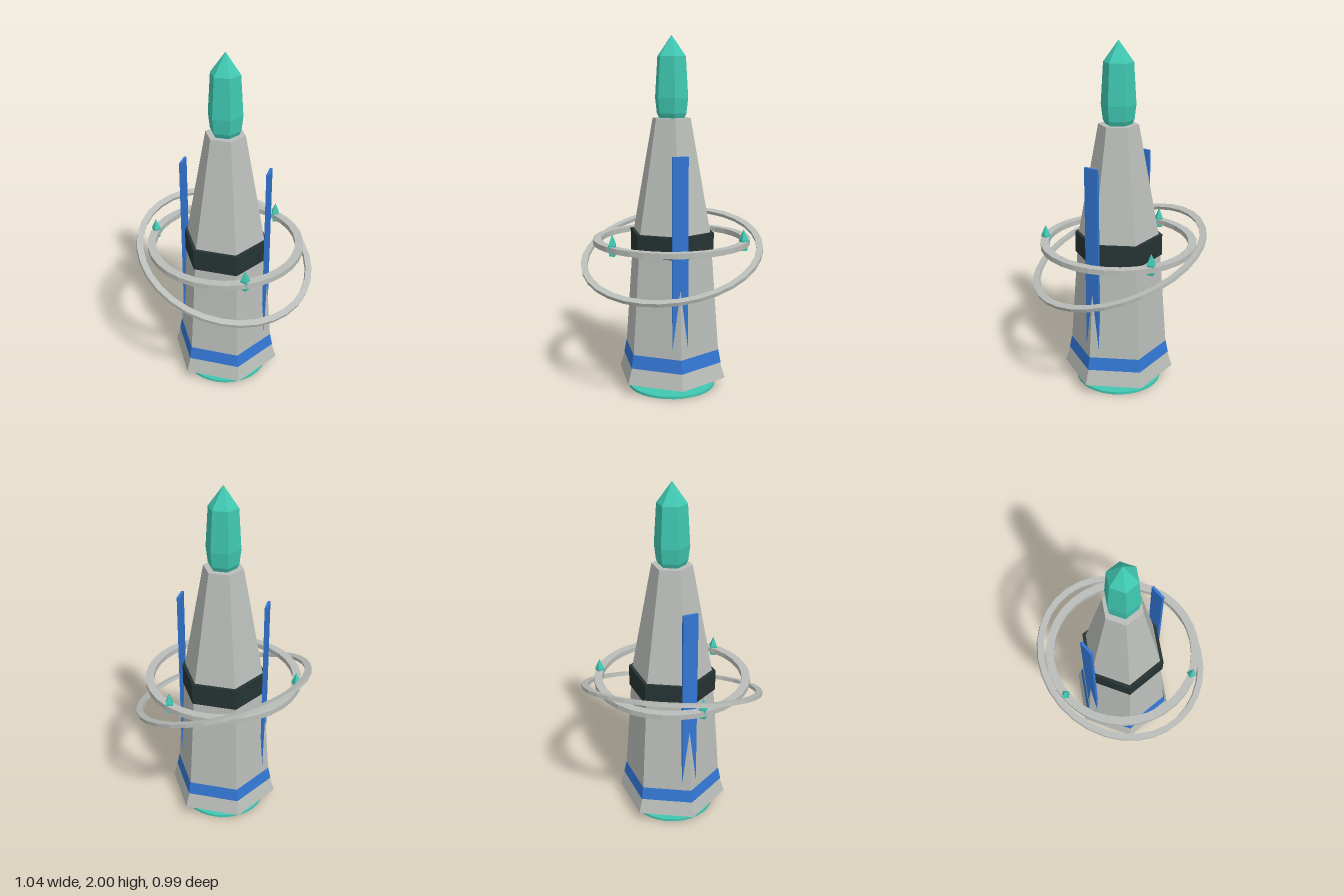
import * as THREE from 'three';

const mat = (name, color) => {
  const m = new THREE.MeshStandardMaterial({ color });
  m.name = name;
  return m;
};

// Faceted solid of revolution from [radius, height] points, listed bottom to top
function faceted(points, sides, start = 0) {
  const profile = points.map(([r, y]) => new THREE.Vector2(r, y));
  const geo = new THREE.LatheGeometry(profile, sides, start).toNonIndexed();
  geo.computeVertexNormals();
  return geo;
}

// Ring with a rectangular section
const ringGeometry = (inner, outer, height) => {
  const h = height / 2;
  return faceted([[outer, -h], [outer, h], [inner, h], [inner, -h], [outer, -h]], 32);
};

export function createModel() {
  const group = new THREE.Group();
  const stone = mat('stone grey', 0xb9bdb8);
  const teal = mat('crystal teal', 0x40c8b2);
  const blue = mat('banner blue', 0x3276d2);
  const dark = mat('dark metal', 0x263333);
  const HEX = Math.PI / 6; // puts hexagon corners on the x axis

  const add = (name, geo, material, x = 0, y = 0, z = 0) => {
    const mesh = new THREE.Mesh(geo, material);
    mesh.name = name;
    mesh.position.set(x, y, z);
    group.add(mesh);
    return mesh;
  };

  // Hexagonal tower with flared foot
  add('tower', faceted([
    [0, 0.07], [0.322, 0.07], [0.285, 0.19], [0.232, 0.9], [0.112, 1.55], [0, 1.55],
  ], 6, HEX), stone);

  // Bands around the tower
  add('lowerBand', faceted([
    [0.27, 0.16], [0.298, 0.16], [0.283, 0.235], [0.26, 0.235],
  ], 6, HEX), blue);
  add('middleBand', faceted([
    [0.2, 0.79], [0.25, 0.79], [0.25, 0.915], [0.2, 0.915],
  ], 6, HEX), dark);

  // Crystal at the top
  add('topCrystal', faceted([
    [0, 1.55], [0.075, 1.55], [0.087, 1.575], [0.097, 1.66], [0.083, 1.885], [0, 2],
  ], 6, HEX), teal);

  // Glowing disc under the foot
  add('baseDisc', new THREE.CylinderGeometry(0.25, 0.25, 0.015, 32), teal, 0, 0.0075, 0);

  // Banners on two opposite corners
  for (const angle of [HEX, HEX + Math.PI]) {
    const banner = add('banner', new THREE.BoxGeometry(0.087, 1.1, 0.015), blue,
      0.245 * Math.sin(angle), 0.805, 0.245 * Math.cos(angle));
    banner.rotation.y = angle;
  }

  // Level ring and tilted ring
  add('levelRing', ringGeometry(0.4, 0.447, 0.03), stone, 0, 0.86, 0);
  const tilted = add('tiltedRing', ringGeometry(0.485, 0.522, 0.02), stone, 0, 0.785, 0);
  tilted.rotation.x = THREE.MathUtils.degToRad(20);

  // Small crystals carried by the level ring
  const shard = faceted([[0, 0.825], [0.022, 0.825], [0.027, 0.885], [0, 0.945]], 4);
  for (let i = 0; i < 3; i++) {
    const a = (i * Math.PI * 2) / 3;
    const mesh = add('ringCrystal', shard, teal, 0.422 * Math.cos(a), 0, -0.422 * Math.sin(a));
    mesh.rotation.y = a;
  }

  return group;
}
